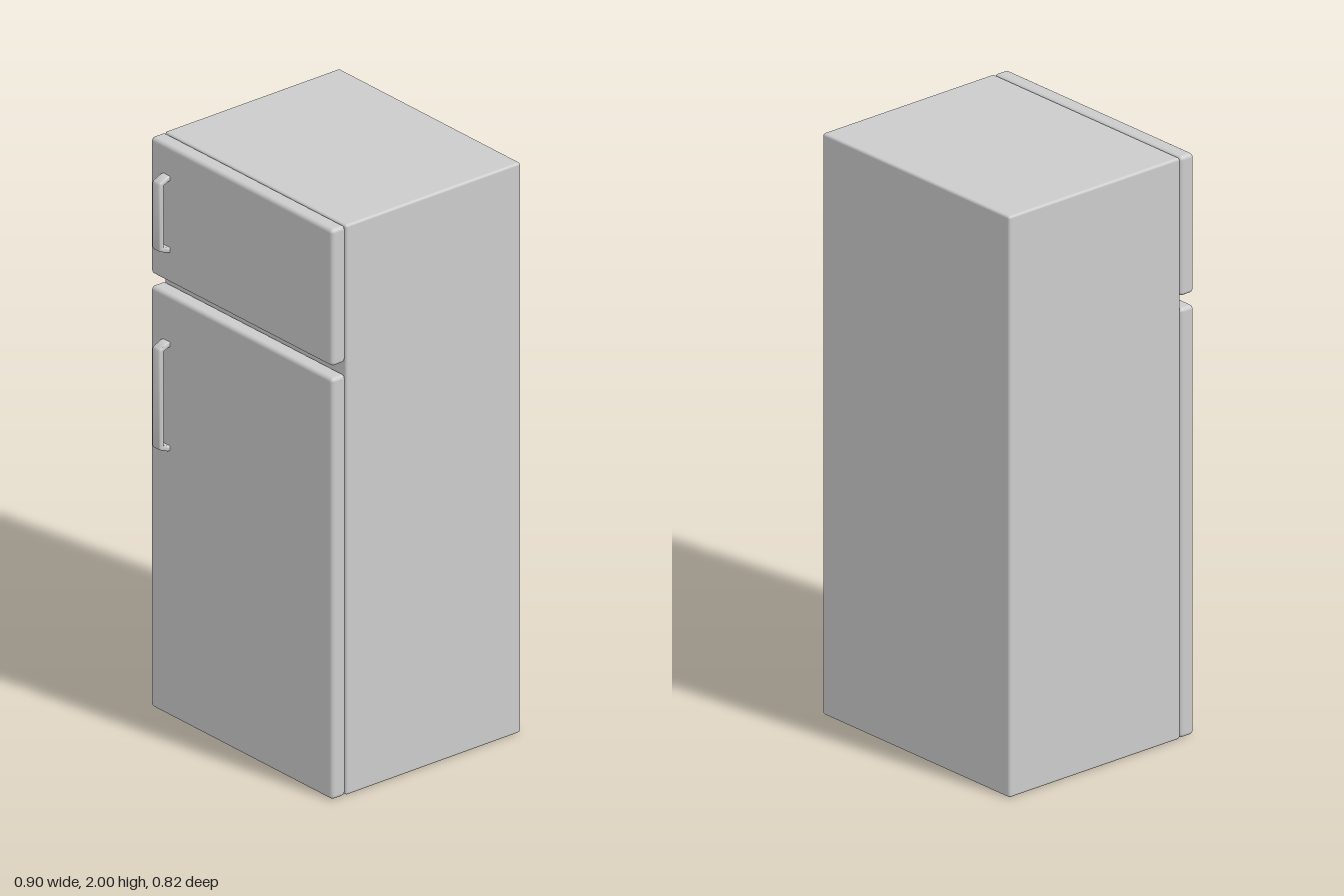
import * as THREE from 'three';
import { RoundedBoxGeometry } from 'three/addons/geometries/RoundedBoxGeometry.js';
import { toCreasedNormals } from 'three/addons/utils/BufferGeometryUtils.js';

const WIDTH = 0.896;
const BACK = -0.411, BODY_FRONT = 0.309, DOOR_FRONT = 0.367, HANDLE_FRONT = 0.411;

export function createModel() {
  const model = new THREE.Group();
  model.name = 'refrigerator';
  const material = new THREE.MeshStandardMaterial({ color: 0xcccccc });

  const add = (name, geometry) => {
    const mesh = new THREE.Mesh(geometry, material);
    mesh.name = name;
    model.add(mesh);
    return mesh;
  };

  // Softly rounded slab between two heights and two depths
  const slab = (name, y0, y1, z0, z1, radius) => {
    const geometry = new RoundedBoxGeometry(WIDTH, y1 - y0, z1 - z0, 4, radius);
    add(name, geometry).position.set(0, (y0 + y1) / 2, (z0 + z1) / 2);
  };

  // Bracket handle: side outline with slanted ends, extruded across x
  const handle = (name, y0, y1) => {
    const h = y1 - y0, d = HANDLE_FRONT - DOOR_FRONT, root = -0.008;
    const outline = new THREE.Shape([
      [root, 0], [0.008, 0], [d - 0.004, 0.014], [d, 0.021],
      [d, h - 0.021], [d - 0.004, h - 0.014], [0.008, h], [root, h],
      [root, h - 0.018], [0.006, h - 0.018], [d - 0.019, h - 0.027],
      [d - 0.019, 0.027], [0.006, 0.018], [root, 0.018],
    ].map(([z, y]) => new THREE.Vector2(z, y)));
    const bevel = 0.005, width = 0.038;
    const geometry = new THREE.ExtrudeGeometry(outline, {
      depth: width - 2 * bevel, bevelEnabled: true, bevelThickness: bevel,
      bevelSize: bevel, bevelOffset: -bevel, bevelSegments: 3,
    });
    geometry.translate(0, 0, bevel - width / 2).rotateY(-Math.PI / 2);
    add(name, toCreasedNormals(geometry, 0.7)).position.set(-0.369, y0, DOOR_FRONT);
  };

  // Cabinet and the two doors
  slab('cabinet', 0, 2, BACK, BODY_FRONT, 0.009);
  slab('freezerDoor', 1.52, 2, BODY_FRONT, DOOR_FRONT, 0.014);
  slab('fridgeDoor', 0, 1.478, BODY_FRONT, DOOR_FRONT, 0.014);

  // Handles on the model's right edge
  handle('freezerHandle', 1.628, 1.896);
  handle('fridgeHandle', 0.932, 1.314);

  return model;
}
